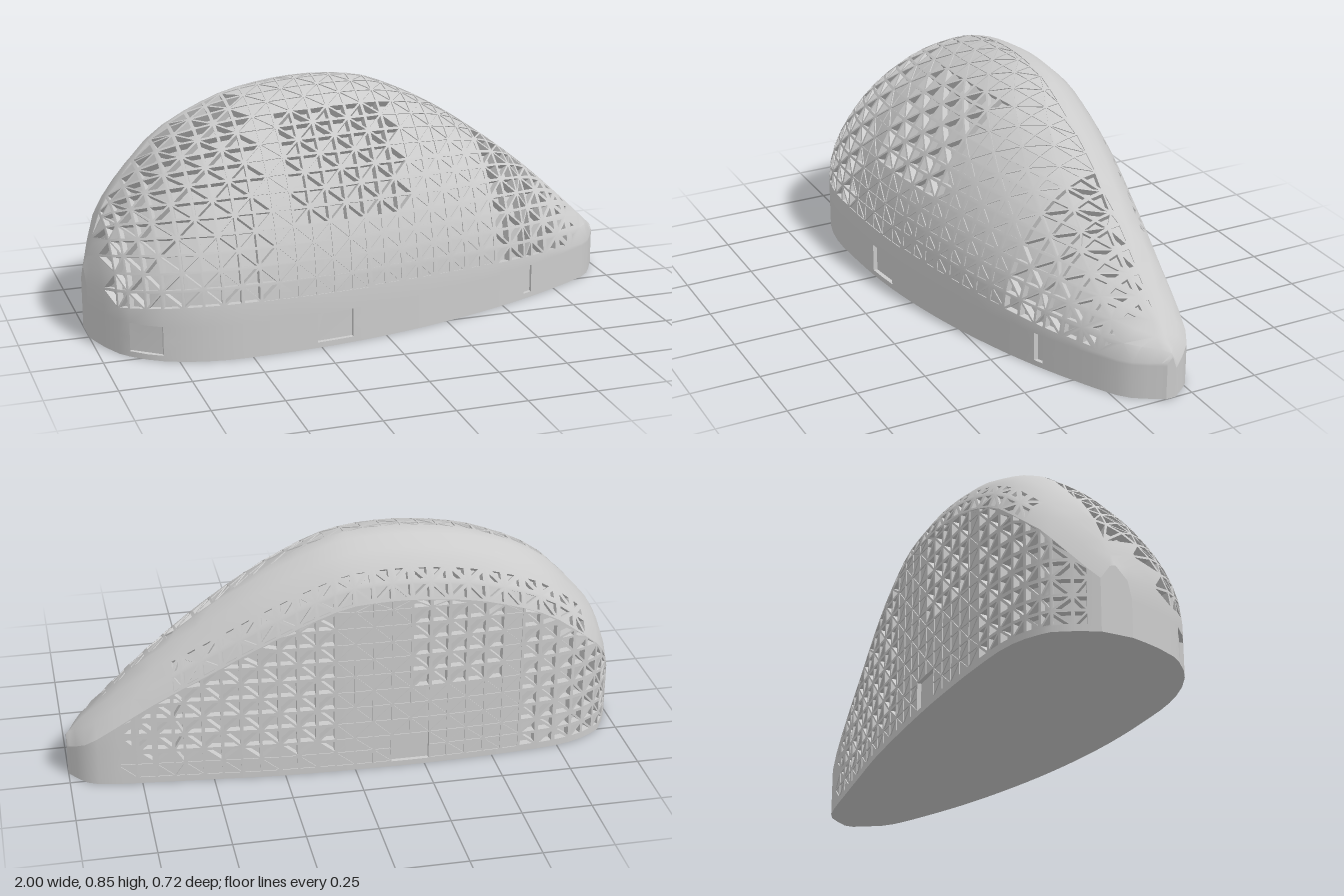
import * as THREE from 'three';
import { toCreasedNormals } from 'three/addons/utils/BufferGeometryUtils.js';

const V = (x, y, z) => new THREE.Vector3(x, y, z);
const clamp = THREE.MathUtils.clamp;

// Smooth curve through [x, value] pairs
function curve(p) {
  const slope = (i) => {
    const a = p[Math.max(i - 1, 0)], b = p[Math.min(i + 1, p.length - 1)];
    return (b[1] - a[1]) / (b[0] - a[0]);
  };
  return (x) => {
    let i = 0;
    while (i < p.length - 2 && x > p[i + 1][0]) i++;
    const w = p[i + 1][0] - p[i][0], t = (x - p[i][0]) / w, t2 = t * t, t3 = t2 * t;
    return (2 * t3 - 3 * t2 + 1) * p[i][1] + (t3 - 2 * t2 + t) * w * slope(i)
      + (3 * t2 - 2 * t3) * p[i + 1][1] + (t3 - t2) * w * slope(i + 1);
  };
}

// Outlines along the length: ridge height, front and rear edge, ridge position
const height = curve([[-1, 0.24], [-0.93, 0.43], [-0.85, 0.54], [-0.7, 0.69], [-0.5, 0.79], [-0.35, 0.83],
  [-0.17, 0.85], [0, 0.84], [0.1, 0.815], [0.3, 0.72], [0.5, 0.59], [0.7, 0.435], [0.85, 0.3], [1, 0.155]]);
const frontZ = curve([[-1, 0], [-0.97, 0.1], [-0.92, 0.2], [-0.8, 0.3], [-0.62, 0.355], [-0.4, 0.358],
  [-0.2, 0.345], [0, 0.315], [0.2, 0.27], [0.4, 0.21], [0.6, 0.135], [0.8, 0.04], [0.93, -0.04], [1, -0.15]]);
const rearZ = curve([[-1, -0.11], [-0.97, -0.18], [-0.93, -0.25], [-0.8, -0.32], [-0.6, -0.347], [-0.3, -0.36],
  [-0.1, -0.36], [0.1, -0.355], [0.3, -0.345], [0.5, -0.325], [0.7, -0.305], [0.87, -0.285], [0.94, -0.26], [1, -0.185]]);
const ridgeZ = curve([[-1, -0.06], [-0.9, -0.1], [-0.6, -0.15], [0, -0.165], [1, -0.17]]);
const baseTop = (x) => 0.135 + 0.17 * Math.max(0, frontZ(x));
const wallTop = (x) => height(x) * (0.77 - 0.06 * clamp(x * 2, 0, 1));

// Columns line up with the edges of the ports
const anchors = [-1, -0.985, -0.965, -0.93, -0.9, -0.8, -0.265, -0.13, 0.6, 0.635, 0.9, 0.94, 0.97, 0.99, 1];
const columns = [-1];
for (let k = 1; k < anchors.length; k++) {
  const a = anchors[k - 1], b = anchors[k], n = Math.max(1, Math.round((b - a) / 0.064));
  for (let i = 1; i <= n; i++) columns.push(a + (b - a) * i / n);
}
const BASE_ROWS = [0, 0.02, 0.0725, 0.125];
const STEP = 0.062;

// Points every STEP along an arc from (z0, y0) up to the ridge, held at the ridge when the arc ends
function arcRows(x, z0, y0, power, count) {
  const zr = ridgeZ(x), h = height(x), rows = [V(x, y0, z0)];
  let last = rows[0], length = 0;
  for (let k = 1; k <= 300; k++) {
    const a = k / 300 * Math.PI / 2;
    const p = V(x, y0 + (h - y0) * Math.sin(a) ** (2 / power),
      zr + (z0 - zr) * Math.max(0, Math.cos(a)) ** (2 / power));
    length += p.distanceTo(last);
    last = p;
    if (length >= STEP * rows.length && rows.length < count) rows.push(p);
  }
  while (rows.length <= count) rows.push(V(x, h, zr));
  return rows;
}

const frontGrid = columns.map((x) => [...BASE_ROWS.map((y) => V(x, y, frontZ(x))),
  ...arcRows(x, frontZ(x), baseTop(x), 1.8, 18)]);
const roofGrid = columns.map((x) => arcRows(x, rearZ(x), wallTop(x), 1.6, 7));
const wallGrid = columns.map((x) => {
  const rows = [...BASE_ROWS];
  for (let k = 1; k <= 9; k++) rows.push(0.125 + k * STEP);
  return rows.map((y) => V(x, Math.min(y, wallTop(x)), rearZ(x))).concat([V(x, wallTop(x), rearZ(x))]);
});

// Pocket size (0 to 1) and depth by region
const DEEP = 0.028, SHALLOW = 0.0035;
function frontPocket(c, j) {
  if (j < 4 || c.x < -0.95 || c.x > 0.87) return null;
  if (c.x < -0.43) return [0.76, DEEP];
  if (c.x > -0.33 && c.x < 0.1 && c.y > 0.42 && c.y < 0.77) return [0.76, DEEP];
  if (c.x > 0.46) return [0.76 * clamp((0.98 - c.x) / 0.34, 0.25, 1), c.z > -0.15 ? DEEP : SHALLOW];
  return [c.x < -0.1 || c.y > 0.6 ? 0.86 : 0.6, SHALLOW];
}
function roofPocket(c, j) {
  if (j > 1 || c.x < -0.85 || c.x > 0.65) return null;
  return [j ? 0.42 : 0.6, c.x > -0.45 && c.x < -0.1 ? DEEP : 0.015];
}
function wallPocket(c, j) {
  if (j < 1 || c.x < -0.98 || c.x > 0.8) return null;
  if (c.x > 0.05) return c.y > 0.1 ? [0.74 * clamp((0.95 - c.x) / 0.35, 0.3, 1), DEEP] : [0.8, SHALLOW];
  if (c.x > -0.52 && c.x < -0.2 && c.y > 0.32) return [0.74, DEEP];
  if (c.x < -0.6) return [0.7, DEEP];
  return [0.86, SHALLOW];
}

function tri(out, a, b, c) {
  const n = b.clone().sub(a).cross(c.clone().sub(a));
  if (n.length() > 1e-9) for (const p of [a, b, c]) out.push(p.x, p.y, p.z);
}
function quad(out, a, b, c, d) {
  tri(out, a, b, c);
  tri(out, a, c, d);
}
// Side walls and floor of a recess below a closed loop
function recess(out, loop, offset) {
  const low = loop.map((p) => p.clone().add(offset));
  loop.forEach((p, k) => {
    const m = (k + 1) % loop.length;
    quad(out, p, loop[m], low[m], low[k]);
    if (k > 1) tri(out, low[0], low[k - 1], low[k]);
  });
}
// One lattice triangle: a flat rim around a sunken pocket
function latticeTriangle(out, t, j, pocketAt) {
  const c = t[0].clone().add(t[1]).add(t[2]).divideScalar(3);
  const n = t[1].clone().sub(t[0]).cross(t[2].clone().sub(t[0]));
  const pocket = n.length() > 0.001 ? pocketAt(c, j) : null;
  if (!pocket) return tri(out, ...t);
  const inner = t.map((p) => c.clone().lerp(p, pocket[0]));
  t.forEach((p, k) => quad(out, p, t[(k + 1) % 3], inner[(k + 1) % 3], inner[k]));
  recess(out, inner, n.normalize().multiplyScalar(-pocket[1]));
}
// A skin of cells over a grid of points, with rectangular ports cut in rows 1 and 2
function skin(out, grid, pocketAt, rear = false, ports = []) {
  const facing = (loop) => (rear ? loop.reverse() : loop);
  for (let i = 0; i < grid.length - 1; i++) {
    const mid = (columns[i] + columns[i + 1]) / 2;
    for (let j = 0; j < grid[i].length - 1; j++) {
      if ((j === 1 || j === 2) && ports.some(([a, b]) => mid > a && mid < b)) continue;
      const a = grid[i][j], b = grid[i + 1][j], c = grid[i + 1][j + 1], d = grid[i][j + 1];
      const pair = (i + j) % 2 ? [[a, b, c], [a, c, d]] : [[a, b, d], [b, c, d]];
      pair.forEach((t) => latticeTriangle(out, facing(t), j, pocketAt));
    }
  }
  for (const [a, b] of ports) {
    const span = grid.filter((_, i) => columns[i] > a - 0.001 && columns[i] < b + 0.001);
    const loop = [...span.map((r) => r[1]), ...span.map((r) => r[3]).reverse()];
    recess(out, facing(loop), V(0, 0, rear ? 0.015 : -0.015));
  }
}

export function createModel() {
  const group = new THREE.Group();
  const material = new THREE.MeshStandardMaterial({ color: 0xcccccc });
  const add = (name, positions) => {
    const g = new THREE.BufferGeometry();
    g.setAttribute('position', new THREE.Float32BufferAttribute(positions, 3));
    const mesh = new THREE.Mesh(toCreasedNormals(g, 0.55), material);
    mesh.name = name;
    group.add(mesh);
  };

  // Domed front with its plain base band, and the roof behind the ridge
  const shell = [];
  skin(shell, frontGrid, frontPocket, false, [[-0.9, -0.8], [-0.265, -0.13], [0.6, 0.635]]);
  skin(shell, roofGrid, roofPocket, true);
  add('domeShell', shell);

  // Upright lattice wall at the rear
  const wall = [];
  skin(wall, wallGrid, wallPocket, true, [[-0.265, -0.13]]);
  add('rearWall', wall);

  // Flat floor
  const floor = [];
  for (let i = 0; i < columns.length - 1; i++) {
    quad(floor, wallGrid[i][0], wallGrid[i + 1][0], frontGrid[i + 1][0], frontGrid[i][0]);
  }
  add('floor', floor);

  // Narrow upright faces closing both ends
  for (const [name, i] of [['rightEnd', 0], ['leftEnd', columns.length - 1]]) {
    const loop = [...frontGrid[i], ...[...roofGrid[i]].reverse(), ...[...wallGrid[i]].reverse()];
    if (i) loop.reverse();
    const centre = V(columns[i], 0.08, ridgeZ(columns[i])), cap = [];
    loop.forEach((p, k) => tri(cap, centre, p, loop[(k + 1) % loop.length]));
    add(name, cap);
  }
  return group;
}
